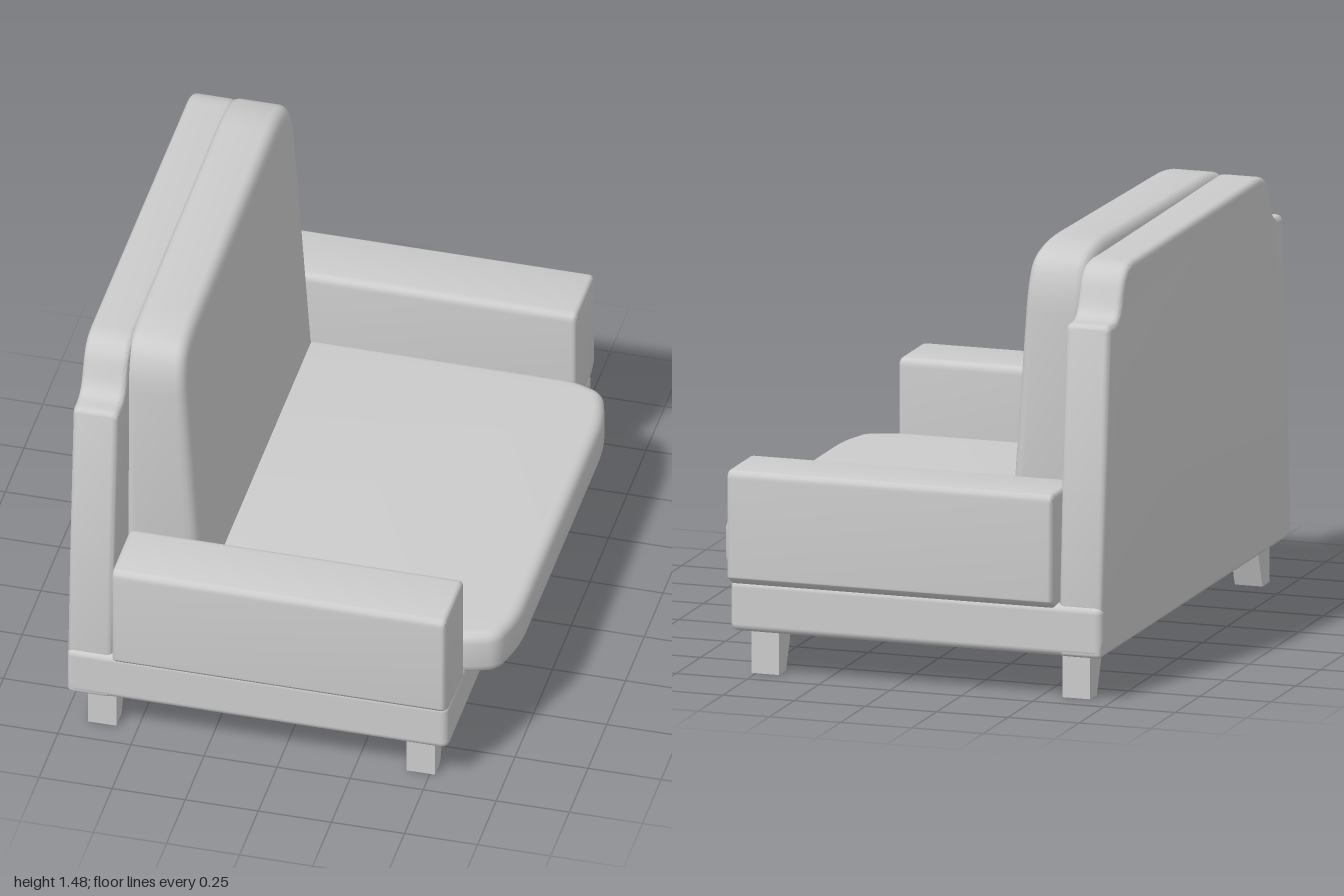
import * as THREE from 'three';
import { toCreasedNormals } from 'three/addons/utils/BufferGeometryUtils.js';
import { RoundedBoxGeometry } from 'three/addons/geometries/RoundedBoxGeometry.js';

const material = new THREE.MeshStandardMaterial({ color: 0xcccccc });

// Extrude an outline along z from 0 to depth, with soft edges that stay inside it
function softExtrude(shape, depth, radius) {
  return new THREE.ExtrudeGeometry(shape, {
    depth: depth - 2 * radius,
    bevelEnabled: radius > 0,
    bevelThickness: radius,
    bevelSize: radius,
    bevelOffset: -radius,
    bevelSegments: 4,
    curveSegments: 6,
  }).translate(0, 0, radius);
}

// Polygon outline with every corner rounded; points are [x, y, cornerRadius]
function roundedShape(points) {
  const shape = new THREE.Shape();
  points.forEach(([x, y, r], i) => {
    const p = new THREE.Vector2(x, y);
    const toward = ([a, b]) => {
      const d = new THREE.Vector2(a, b).sub(p);
      return d.setLength(Math.min(r, d.length() * 0.48)).add(p);
    };
    const a = toward(points.at(i - 1));
    const b = toward(points[(i + 1) % points.length]);
    if (i === 0) shape.moveTo(a.x, a.y);
    else shape.lineTo(a.x, a.y);
    shape.quadraticCurveTo(x, y, b.x, b.y);
  });
  shape.closePath();
  return shape;
}

// Side-to-side outline given as [-z, y, r], extruded along x from x0 to x1
function alongX(points, x0, x1, radius) {
  return softExtrude(roundedShape(points), x1 - x0, radius)
    .rotateY(Math.PI / 2).translate(x0, 0, 0);
}

// Right half of an outline, completed with its mirror image
const mirrored = (half) => [...half, ...half.map(([a, b, r]) => [-a, b, r]).reverse()];

export function createModel() {
  const group = new THREE.Group();
  const add = (name, geometry) => {
    const mesh = new THREE.Mesh(geometry, material);
    mesh.name = name;
    group.add(mesh);
    return mesh;
  };

  // Base frame
  const base = add('baseFrame', new RoundedBoxGeometry(1.305, 0.175, 1.93, 3, 0.025));
  base.position.set(-0.0775, 0.2375, 0);

  // Back panel with stepped shoulders
  const panel = mirrored([
    [0.965, 0.15, 0.02], [0.93, 0.71, 0.02], [0.882, 1.265, 0.025],
    [0.785, 1.265, 0.06], [0.735, 1.4, 0.04], [0.68, 1.438, 0.05],
  ]);
  add('backPanel', toCreasedNormals(alongX(panel, -0.73, -0.575, 0.02), 0.6));

  // Arms
  for (const side of [-1, 1]) {
    const arm = [
      [0.745, 0.3, 0.01], [0.955, 0.31, 0.01], [1, 0.335, 0.01],
      [1, 0.705, 0.03], [0.745, 0.705, 0.03],
    ].map(([a, b, r]) => [a * side, b, r]);
    if (side < 0) arm.reverse();
    add(side < 0 ? 'leftArm' : 'rightArm',
      toCreasedNormals(alongX(arm, -0.567, 0.575, 0.016), 0.6));
  }

  // Seat cushion, overhanging the front
  const seat = roundedShape([
    [-0.575, -0.742, 0.02], [0.57, -0.742, 0.05], [0.682, -0.7, 0.04], [0.722, -0.56, 0.08],
    [0.722, 0.56, 0.08], [0.682, 0.7, 0.04], [0.57, 0.742, 0.05], [-0.575, 0.742, 0.02],
  ]);
  add('seatCushion', toCreasedNormals(
    softExtrude(seat, 0.16, 0.035).rotateX(-Math.PI / 2).translate(0, 0.297, 0), 0.7));

  // Back cushion, thinner towards the top
  const cushion = alongX([
    [-0.747, 0.42, 0.03], [0.747, 0.42, 0.03], [0.742, 1.34, 0.08], [0.7, 1.445, 0.05],
    [0.56, 1.48, 0.08], [-0.58, 1.458, 0.08], [-0.7, 1.435, 0.05], [-0.742, 1.34, 0.08],
  ], -0.592, -0.32, 0.045);
  const pos = cushion.attributes.position;
  for (let i = 0; i < pos.count; i++) {
    const front = (pos.getX(i) + 0.592) / 0.272;
    pos.setX(i, pos.getX(i) - 0.068 * front * (pos.getY(i) - 0.42));
  }
  add('backCushion', toCreasedNormals(cushion, 0.7));

  // Legs, tapered on the inner side
  for (const side of [-1, 1]) {
    for (const x of [-0.67, 0.42]) {
      const corners = [[0.84, 0], [0.91, 0], [0.91, 0.16], [0.778, 0.16]];
      const leg = new THREE.Shape(corners.map(([a, b]) => new THREE.Vector2(a * side, b)));
      add('leg', softExtrude(leg, 0.097, 0).rotateY(Math.PI / 2).translate(x, 0, 0));
    }
  }

  return group;
}
